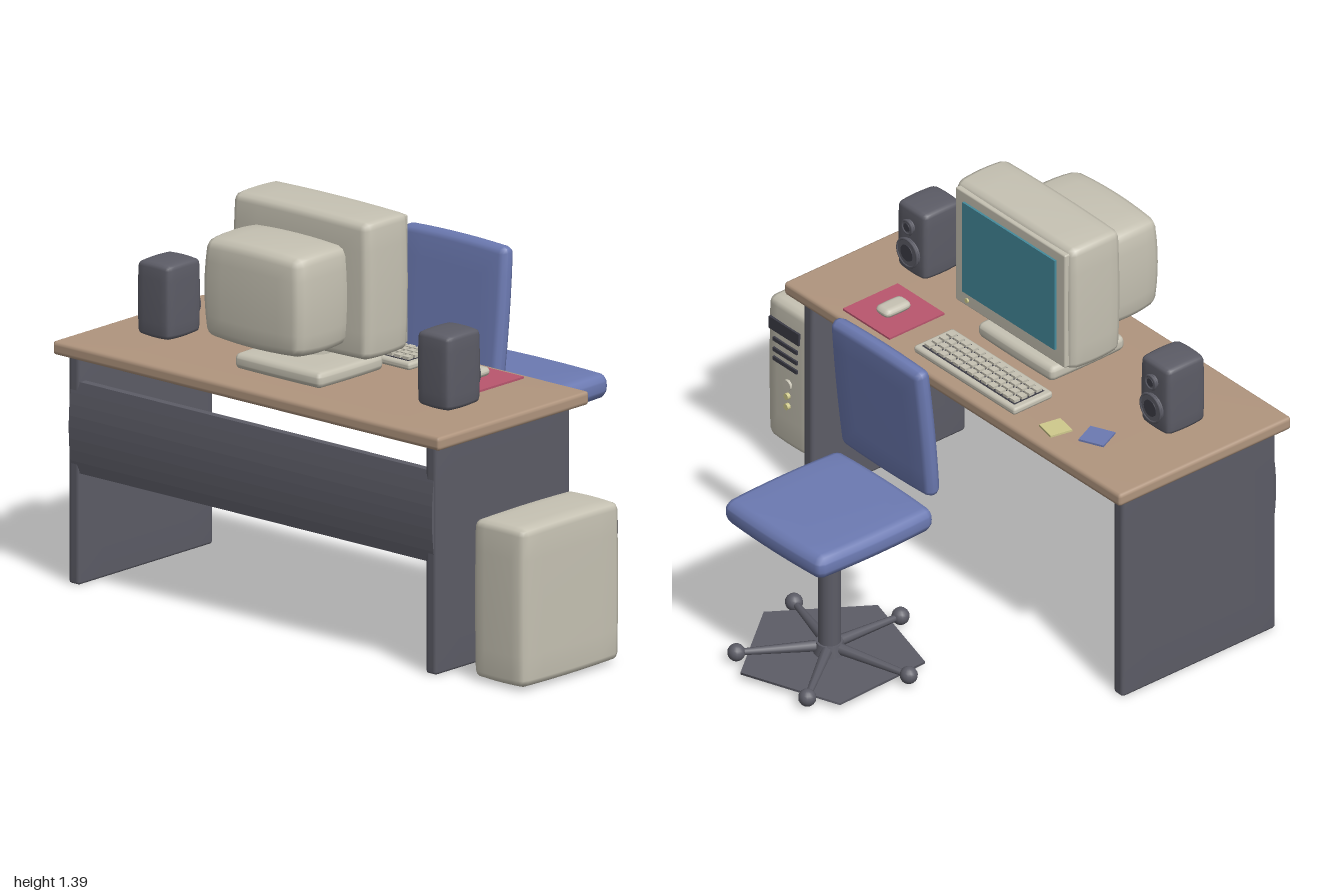
import * as THREE from 'three';
import { mergeVertices } from 'three/addons/utils/BufferGeometryUtils.js';

const mat = (name, color) => {
  const m = new THREE.MeshStandardMaterial({ color });
  m.name = name;
  return m;
};

export function createModel() {
  const model = new THREE.Group();
  model.name = 'computerDesk';
  const wood = mat('wood', 0xb0957e);
  const grey = mat('darkGrey', 0x5c5c66);
  const beige = mat('beige', 0xc6c2b3);
  const blue = mat('upholsteryBlue', 0x6c7ab2);
  const teal = mat('screenTeal', 0x458a9b);
  const red = mat('padRed', 0xb9566e);
  const yellow = mat('noteYellow', 0xcfc98c);
  const black = mat('slotBlack', 0x3c3c46);

  const group = (name, parent = model) => {
    const g = new THREE.Group();
    g.name = name;
    parent.add(g);
    return g;
  };
  const add = (parent, name, geo, material, x, y, z) => {
    const m = new THREE.Mesh(geo, material);
    m.name = name;
    m.position.set(x, y, z);
    parent.add(m);
    return m;
  };

  // Bevelled box whose faces bow outwards: r is the bevel, bow the pull-in at the corners
  function pillow(w, h, d, r, bow = 0) {
    const seg = 8;
    const half = [w / 2, h / 2, d / 2];
    const geo = new THREE.BoxGeometry(2, 2, 2, seg, seg, seg);
    geo.deleteAttribute('uv');
    geo.deleteAttribute('normal');
    const pos = geo.attributes.position;
    for (let i = 0; i < pos.count; i++) {
      const u = [pos.getX(i), pos.getY(i), pos.getZ(i)];
      const core = u.map((c, k) => (half[k] - r) * THREE.MathUtils.clamp(c / (1 - 2 / seg), -1, 1));
      const out = new THREE.Vector3(...u.map(c => (Math.abs(c) > 0.999 ? Math.sign(c) : 0)));
      out.normalize().multiplyScalar(r);
      const p = [core[0] + out.x, core[1] + out.y, core[2] + out.z];
      const n = p.map((c, k) => (c / half[k]) ** 2);
      const sum = n[0] + n[1] + n[2];
      pos.setXYZ(i, ...p.map((c, k) => c * (1 - bow * (sum - n[k]) / 2)));
    }
    const merged = mergeVertices(geo, 1e-5);
    merged.computeVertexNormals();
    return merged;
  }
  // Pillow given by its limits on each axis
  const block = (parent, name, material, [x0, x1], [y0, y1], [z0, z1], r, bow) =>
    add(parent, name, pillow(x1 - x0, y1 - y0, z1 - z0, r, bow), material,
      (x0 + x1) / 2, (y0 + y1) / 2, (z0 + z1) / 2);
  const plate = (parent, name, material, w, h, d, x, y, z) =>
    add(parent, name, new THREE.BoxGeometry(w, h, d), material, x, y, z);
  // Disc facing -z
  const disc = (parent, name, material, r, depth, x, y, z) => {
    const m = add(parent, name, new THREE.CylinderGeometry(r, r, depth, 20), material, x, y, z);
    m.rotation.x = Math.PI / 2;
    return m;
  };

  // Desk
  const desk = group('desk');
  block(desk, 'deskTop', wood, [-1, 0.69], [0.775, 0.822], [0.045, 0.78], 0.01);
  block(desk, 'rightLegPanel', grey, [-0.96, -0.913], [0, 0.78], [0.093, 0.747], 0.01);
  block(desk, 'leftLegPanel', grey, [0.603, 0.65], [0, 0.78], [0.093, 0.747], 0.01);
  const modesty = new THREE.Shape();
  modesty.moveTo(0.715, 0.38);
  modesty.lineTo(0.742, 0.38);
  modesty.quadraticCurveTo(0.772, 0.535, 0.742, 0.69);
  modesty.lineTo(0.715, 0.69);
  modesty.closePath();
  const panel = add(desk, 'modestyPanel',
    new THREE.ExtrudeGeometry(modesty, { depth: 1.59, bevelEnabled: false, curveSegments: 8 }), grey, 0.64, 0, 0);
  panel.rotation.y = -Math.PI / 2; // shape x -> z, extrusion -> -x

  // Monitor, its screen facing the chair
  const monitor = group('monitor');
  block(monitor, 'monitorBody', beige, [-0.455, 0.15], [0.908, 1.387], [0.305, 0.527], 0.025, 0.04);
  block(monitor, 'monitorRear', beige, [-0.38, 0.067], [0.943, 1.303], [0.48, 0.765], 0.03, 0.1);
  block(monitor, 'bezel', beige, [-0.43, 0.122], [0.93, 1.365], [0.295, 0.33], 0.006);
  plate(monitor, 'screen', teal, 0.465, 0.345, 0.009, -0.155, 1.157, 0.2915);
  disc(monitor, 'powerLight', yellow, 0.008, 0.009, 0.06, 0.955, 0.293);
  block(monitor, 'monitorBase', beige, [-0.345, 0.035], [0.822, 0.878], [0.31, 0.63], 0.015, 0.03);
  add(monitor, 'monitorNeck', new THREE.CylinderGeometry(0.05, 0.05, 0.06, 16), beige, -0.155, 0.895, 0.43);

  // Speakers
  for (const [side, x] of [['right', -0.77], ['left', 0.456]]) {
    const s = group(side + 'Speaker');
    block(s, 'cabinet', grey, [x - 0.073, x + 0.073], [0.822, 1.082], [0.385, 0.552], 0.015, 0.06);
    for (const [name, r, y] of [['woofer', 0.05, 0.913], ['tweeter', 0.024, 1.012]]) {
      disc(s, name, grey, r, 0.02, x, y, 0.382);
      disc(s, name + 'Cone', black, r * 0.6, 0.004, x, y, 0.371);
      add(s, name + 'Rim', new THREE.TorusGeometry(r, 0.005, 6, 20), grey, x, y, 0.374);
    }
  }

  // Keyboard
  const keyboard = group('keyboard');
  block(keyboard, 'keyboardBody', beige, [-0.41, 0.096], [0.82, 0.846], [0.095, 0.262], 0.008);
  const keyGeo = new THREE.BoxGeometry(0.026, 0.012, 0.023);
  for (let row = 0; row < 4; row++) {
    for (let col = 0; col < 13; col++) {
      add(keyboard, 'key', keyGeo, beige, -0.371 + col * 0.0357, 0.851, 0.131 + row * 0.0315);
    }
  }
  plate(keyboard, 'keyBed', black, 0.464, 0.002, 0.128, -0.157, 0.8462, 0.178);

  // Mouse, mat and sticky notes
  const deskItems = group('deskItems');
  plate(deskItems, 'mousePad', red, 0.235, 0.008, 0.235, 0.318, 0.825, 0.198);
  block(deskItems, 'mouse', beige, [0.285, 0.351], [0.828, 0.86], [0.142, 0.252], 0.012, 0.12);
  plate(deskItems, 'blueNote', blue, 0.09, 0.008, 0.09, -0.685, 0.825, 0.216).rotation.y = 0.42;
  plate(deskItems, 'yellowNote', yellow, 0.08, 0.008, 0.08, -0.558, 0.825, 0.147).rotation.y = -0.2;

  // Computer tower
  const tower = group('tower');
  block(tower, 'towerCase', beige, [0.768, 0.997], [0.005, 0.553], [0.227, 0.708], 0.025, 0.025);
  plate(tower, 'driveBay', black, 0.15, 0.045, 0.02, 0.9, 0.455, 0.231);
  for (const y of [0.4, 0.36, 0.325]) plate(tower, 'driveSlot', black, 0.12, 0.014, 0.018, 0.895, y, 0.23);
  disc(tower, 'powerButton', beige, 0.019, 0.02, 0.882, 0.255, 0.228);
  disc(tower, 'upperLight', yellow, 0.011, 0.022, 0.882, 0.212, 0.226);
  disc(tower, 'lowerLight', yellow, 0.011, 0.022, 0.882, 0.172, 0.226);

  // Office chair
  const chair = group('chair');
  chair.position.set(-0.158, 0, -0.48);
  block(chair, 'seat', blue, [-0.252, 0.25], [0.508, 0.6], [-0.257, 0.25], 0.025, 0.06);
  const back = add(chair, 'backrest', pillow(0.46, 0.51, 0.062, 0.02, 0.05), blue, 0, 0.872, 0.24);
  back.rotation.x = -0.1;
  add(chair, 'column', new THREE.CylinderGeometry(0.038, 0.038, 0.5, 16), grey, 0, 0.275, 0);
  add(chair, 'hub', new THREE.CylinderGeometry(0.045, 0.055, 0.045, 16), grey, 0, 0.045, 0);
  const foot = add(chair, 'basePlate', new THREE.CylinderGeometry(0.318, 0.318, 0.008, 5), grey, 0, 0.023, 0);
  foot.rotation.y = THREE.MathUtils.degToRad(20);
  for (let i = 0; i < 5; i++) {
    const arm = group('baseArm', chair);
    arm.rotation.y = i * Math.PI * 2 / 5;
    const spoke = add(arm, 'spoke', new THREE.CylinderGeometry(0.011, 0.02, 0.28, 8), grey, 0, 0.043, 0.16);
    spoke.rotation.x = Math.PI / 2 + 0.05;
    add(arm, 'caster', new THREE.SphereGeometry(0.03, 14, 10), grey, 0, 0.036, 0.304);
  }
  return model;
}
